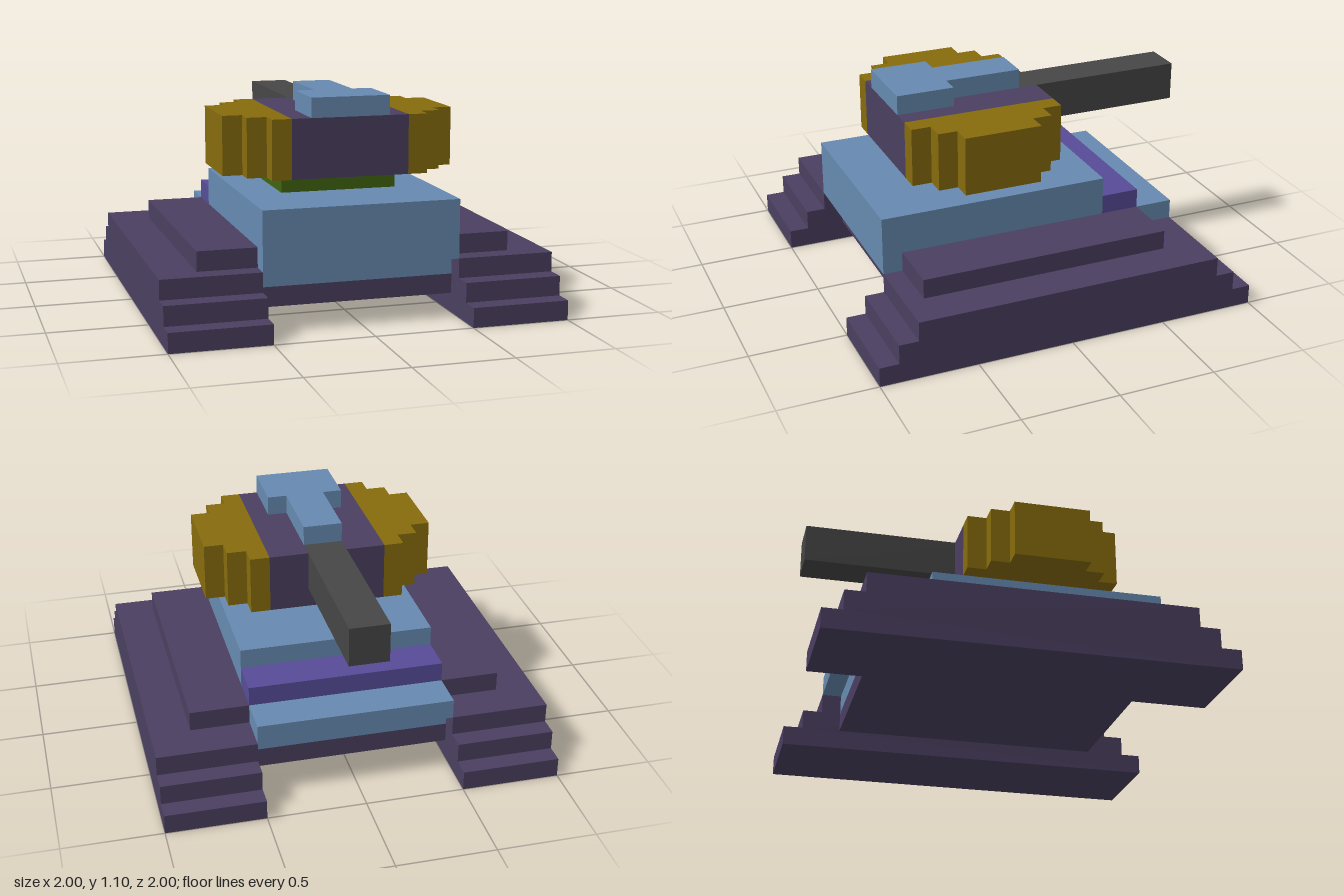
import * as THREE from 'three';

const paint = (name, color) => {
  const m = new THREE.MeshStandardMaterial({ color });
  m.name = name;
  return m;
};

export function createModel() {
  const plum = paint('dark plum', 0x4a3f60);
  const blue = paint('steel blue', 0x668ab0);
  const violet = paint('violet', 0x574c98);
  const gold = paint('dark gold', 0x866b0c);
  const green = paint('dark green', 0x40640f);
  const grey = paint('dark grey', 0x464646);

  const model = new THREE.Group();
  model.name = 'tank';

  const add = (name, geometry, material) => {
    const mesh = new THREE.Mesh(geometry, material);
    mesh.name = name;
    model.add(mesh);
  };

  // Box given by its extents on each axis
  const box = (name, material, [x0, x1], [y0, y1], [z0, z1]) => {
    const g = new THREE.BoxGeometry(x1 - x0, y1 - y0, z1 - z0);
    g.translate((x0 + x1) / 2, (y0 + y1) / 2, (z0 + z1) / 2);
    add(name, g, material);
  };

  const extrude = (points, depth) => new THREE.ExtrudeGeometry(
    new THREE.Shape(points.map(([a, b]) => new THREE.Vector2(a, b))),
    { depth, bevelEnabled: false });

  // Side profile of [z, y] points, extruded across x
  const sideProfile = (name, material, points, x0, x1) => {
    const g = extrude(points.map(([z, y]) => [-z, y]), x1 - x0);
    add(name, g.rotateY(Math.PI / 2).translate(x0, 0, 0), material);
  };

  // Plan outline of [x, z] points, extruded upward
  const plan = (name, material, points, y0, y1) => {
    const g = extrude(points.map(([x, z]) => [x, -z]), y1 - y0);
    add(name, g.rotateX(-Math.PI / 2).translate(0, y0, 0), material);
  };

  // Stepped tracks and stepped turret cheeks, mirrored
  for (const [side, s] of [['left', 1], ['right', -1]]) {
    const span = (a, b) => (s > 0 ? [a, b] : [-b, -a]);
    sideProfile(side + 'Track', plum, [
      [-1, 0], [1, 0], [1, 0.1], [0.9, 0.1], [0.9, 0.2], [0.8, 0.2], [0.8, 0.3],
      [-0.8, 0.3], [-0.8, 0.2], [-0.9, 0.2], [-0.9, 0.1], [-1, 0.1],
    ], ...span(0.5, 1));
    box(side + 'TrackCover', plum, span(0.5, 0.8), [0.3, 0.4], [-0.6, 0.7]);

    plan(side + 'TurretCheek', gold, [
      [0.3, -0.2], [0.4, -0.2], [0.4, -0.1], [0.5, -0.1], [0.5, 0], [0.6, 0],
      [0.6, 0.4], [0.5, 0.4], [0.5, 0.5], [0.4, 0.5], [0.4, 0.6], [0.3, 0.6],
    ].map(([x, z]) => [x * s, z]), 0.7, 1);
  }

  // Hull with overhanging ends, on a floor plate
  box('floorPlate', plum, [-0.5, 0.5], [0.1, 0.2], [-0.7, 0.7]);
  sideProfile('hull', blue, [
    [-0.7, 0.2], [0.7, 0.2], [0.7, 0.3], [0.8, 0.3], [0.8, 0.6],
    [-0.4, 0.6], [-0.4, 0.4], [-0.8, 0.4], [-0.8, 0.3], [-0.7, 0.3],
  ], -0.5, 0.5);
  box('hullStep', violet, [-0.5, 0.5], [0.4, 0.5], [-0.6, -0.4]);

  // Turret, notched where the barrel enters
  box('turretRing', green, [-0.3, 0.3], [0.6, 0.7], [0, 0.4]);
  plan('turretCore', plum, [
    [-0.3, 0.6], [-0.3, -0.2], [-0.1, -0.2], [-0.1, -0.1],
    [0.1, -0.1], [0.1, -0.2], [0.3, -0.2], [0.3, 0.6],
  ], 0.7, 1);
  box('barrelSill', plum, [-0.1, 0.1], [0.7, 0.8], [-0.2, -0.1]);
  box('barrel', grey, [-0.1, 0.1], [0.8, 1], [-1, -0.1]);

  // T-shaped hatch on the roof
  plan('hatch', blue, [
    [-0.1, -0.1], [0.1, -0.1], [0.1, 0.3], [0.2, 0.3],
    [0.2, 0.6], [-0.2, 0.6], [-0.2, 0.3], [-0.1, 0.3],
  ], 1, 1.1);

  return model;
}
